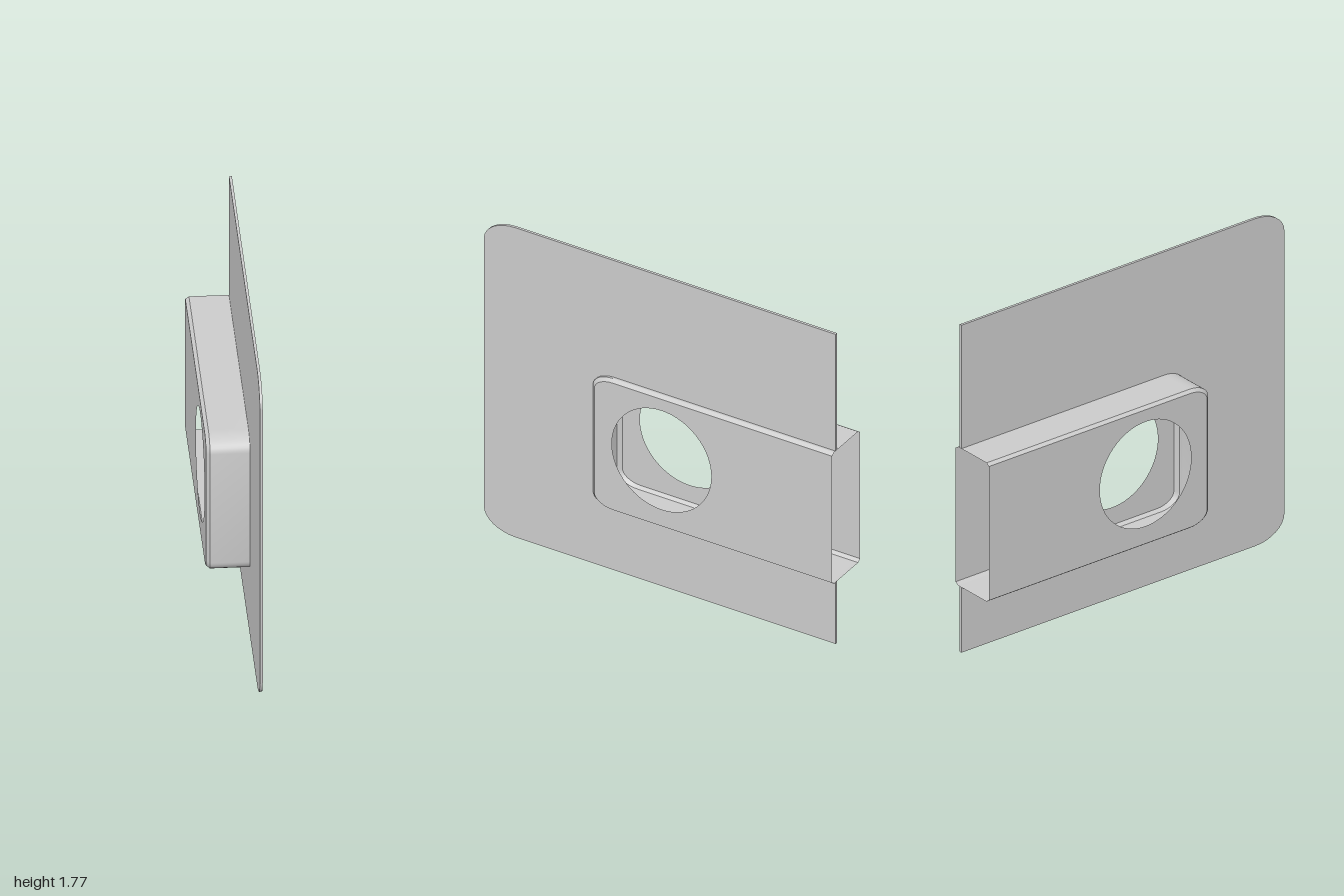
import * as THREE from 'three';
import { toCreasedNormals } from 'three/addons/utils/BufferGeometryUtils.js';

const BACK = -1;
const HOLE = { z: -0.03, y: 0.745, r: 0.283 };

// U-shaped outline in (z, y): back bottom, round the two front corners, back top
function outline(front, y0, y1, rz, ry, n = 8) {
  const pts = [new THREE.Vector2(BACK, y0)];
  for (let i = 0; i <= n; i++) {
    const a = -Math.PI / 2 + (i / n) * (Math.PI / 2);
    pts.push(new THREE.Vector2(front - rz + rz * Math.cos(a), y0 + ry + ry * Math.sin(a)));
  }
  for (let i = 0; i <= n; i++) {
    const a = (i / n) * (Math.PI / 2);
    pts.push(new THREE.Vector2(front - rz + rz * Math.cos(a), y1 - ry + ry * Math.sin(a)));
  }
  pts.push(new THREE.Vector2(BACK, y1));
  return pts;
}

// Housing outline, shrunk for the bevels
const housing = (dz = 0, dy = 0) =>
  outline(0.372 - dz, 0.354 + dy, 1.106 - dy, 0.115 - dz * 0.5, 0.07 - dy * 0.5);

// Turn a (z, y) drawing so that it faces along x
const standUp = (geo, x) => geo.rotateY(-Math.PI / 2).translate(x, 0, 0);

// Wall swept through sections of [x, inset in z, inset in y]
function wallGeometry(rows) {
  const pos = [], index = [];
  const n = housing().length;
  rows.forEach(([x, dz, dy]) => housing(dz, dy).forEach((p) => pos.push(x, p.y, p.x)));
  for (let j = 0; j < rows.length - 1; j++) {
    for (let i = 0; i < n - 1; i++) {
      const a = j * n + i, b = a + 1, c = a + n, d = c + 1;
      index.push(a, b, c, b, d, c);
    }
  }
  const geo = new THREE.BufferGeometry();
  geo.setAttribute('position', new THREE.Float32BufferAttribute(pos, 3));
  geo.setIndex(index);
  return toCreasedNormals(geo, 0.5);
}

export function createModel() {
  const group = new THREE.Group();
  const material = new THREE.MeshStandardMaterial({ color: 0xcccccc, side: THREE.DoubleSide });
  const add = (name, geo) => {
    const mesh = new THREE.Mesh(geo, material);
    mesh.name = name;
    group.add(mesh);
  };

  // Thin mounting plate, cut out where the housing passes through
  const plate = new THREE.Shape([...outline(1, 0, 1.775, 0.18, 0.12), ...housing().reverse()]);
  const plateGeo = new THREE.ExtrudeGeometry(plate, { depth: 0.014, bevelEnabled: false });
  add('mountingPlate', toCreasedNormals(standUp(plateGeo, 0.096), 0.5));

  // Hollow housing, open at the back, bevelled at both faces
  const bevelZ = 0.02, bevelY = 0.013;
  const outer = 0.127, inner = -0.13;
  add('housingWall', wallGeometry([
    [outer, bevelZ, bevelY],
    [0.108, 0, 0],
    [-0.112, 0, 0],
    [inner, bevelZ, bevelY],
  ]));

  // The two faces, each with the round opening
  for (const [name, x] of [['outerFace', outer], ['innerFace', inner]]) {
    const face = new THREE.Shape(housing(bevelZ, bevelY));
    const hole = new THREE.Path();
    hole.absarc(HOLE.z, HOLE.y, HOLE.r, 0, Math.PI * 2, true);
    face.holes.push(hole);
    add(name, standUp(new THREE.ShapeGeometry(face, 32), x));
  }
  return group;
}
